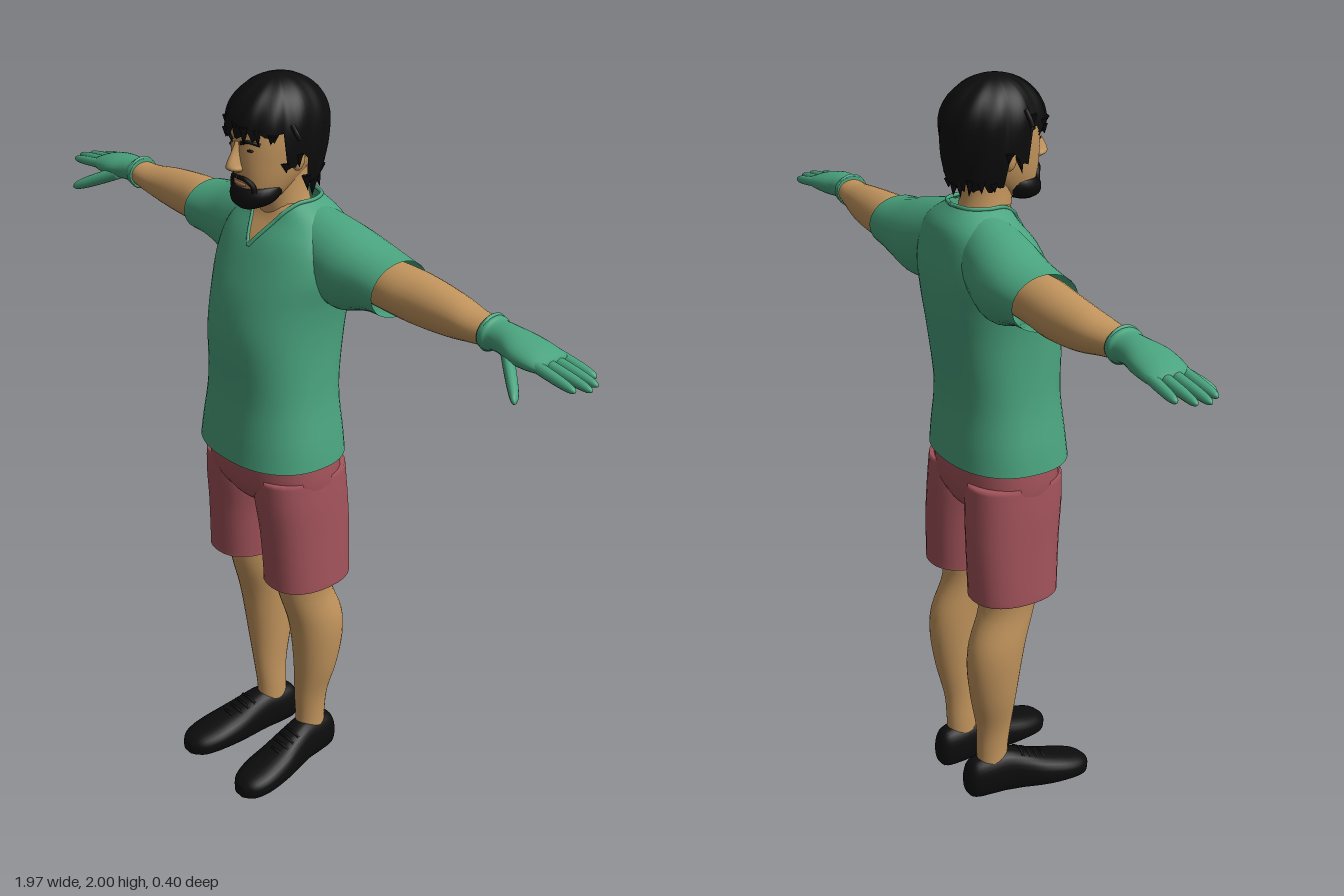
import * as THREE from 'three';

const mat = (name, color, side = THREE.FrontSide) => {
  const m = new THREE.MeshStandardMaterial({ color, side });
  m.name = name;
  return m;
};

// Smoothly resample a list of sections
function smooth(rows, sub = 4) {
  const out = [];
  for (let i = 0; i < rows.length - 1; i++) {
    const [p, a, b, q] = [rows[Math.max(i - 1, 0)], rows[i], rows[i + 1], rows[Math.min(i + 2, rows.length - 1)]];
    for (let k = 0; k < sub; k++) {
      const t = k / sub;
      out.push(a.map((v, c) => {
        const cubic = 3 * (v - b[c]) + q[c] - p[c];
        const square = 2 * p[c] - 5 * v + 4 * b[c] - q[c];
        return v + 0.5 * t * (b[c] - p[c] + t * (square + t * cubic));
      }));
    }
  }
  out.push(rows[rows.length - 1]);
  return out;
}

// Grid of points (rows of equal length) to a smooth surface
function skinGrid(grid, closed, capStart = false, capEnd = false) {
  const n = grid[0].length, pos = grid.flat(2), idx = [];
  for (let i = 0; i < grid.length - 1; i++) {
    for (let j = 0; j < (closed ? n : n - 1); j++) {
      const a = i * n + j, b = i * n + (j + 1) % n;
      idx.push(a, a + n, b, b, a + n, b + n);
    }
  }
  const cap = (row, flip) => {
    const c = pos.length / 3, base = row * n;
    pos.push(...[0, 1, 2].map(k => grid[row].reduce((s, p) => s + p[k], 0) / n));
    for (let j = 0; j < n; j++) {
      const a = base + j, b = base + (j + 1) % n;
      idx.push(c, flip ? b : a, flip ? a : b);
    }
  };
  if (capStart) cap(0, false);
  if (capEnd) cap(grid.length - 1, true);
  const g = new THREE.BufferGeometry();
  g.setAttribute('position', new THREE.Float32BufferAttribute(pos, 3));
  g.setIndex(idx);
  g.computeVertexNormals();
  return g;
}

// Loft of oval sections [t, u, v, ru, rv] along an axis (y: u=x v=z, x: u=z v=y, z: u=y v=x)
function loft(axis, rows, { n = 2, seg = 28, capStart = true, capEnd = true, floor = -1 } = {}) {
  const place = { y: (t, u, v) => [u, t, v], x: (t, u, v) => [t, v, u], z: (t, u, v) => [v, u, t] }[axis];
  const pw = c => Math.sign(c) * Math.abs(c) ** (2 / n);
  const grid = smooth(rows).map(([t, u, v, ru, rv]) => Array.from({ length: seg }, (_, j) => {
    const a = j / seg * Math.PI * 2;
    const p = place(t, u + ru * pw(Math.cos(a)), v + rv * pw(Math.sin(a)));
    p[1] = Math.max(p[1], floor);
    return p;
  }));
  return skinGrid(grid, true, capStart, capEnd);
}

const tube = (pts, r, seg = 24) =>
  new THREE.TubeGeometry(new THREE.CatmullRomCurve3(pts.map(p => new THREE.Vector3(...p))), seg, r, 8);
const ball = (x, y, z, rx, ry, rz) => new THREE.SphereGeometry(1, 16, 12).scale(rx, ry, rz).translate(x, y, z);

export function createModel() {
  const model = new THREE.Group();
  model.name = 'standingMan';
  const skin = mat('skin', 0xc4965e);
  const green = mat('greenCloth', 0x4aa47f, THREE.DoubleSide);
  const red = mat('redCloth', 0xa2535a, THREE.DoubleSide);
  const black = mat('black', 0x0c0c0c, THREE.DoubleSide);
  const lip = mat('lips', 0xa8734f);

  const add = (name, geo, m) => {
    const mesh = new THREE.Mesh(geo, m);
    mesh.name = name;
    model.add(mesh);
  };
  // Left part plus its mirrored right twin
  const pair = (name, geo, m) => {
    add(name + 'Left', geo, m);
    const g = geo.clone().scale(-1, 1, 1), ix = g.index.array;
    for (let i = 0; i < ix.length; i += 3) [ix[i], ix[i + 1]] = [ix[i + 1], ix[i]];
    add(name + 'Right', g, m);
  };

  // Shirt body
  const torso = [
    [1.02, 0, -0.012, 0.206, 0.163], [1.08, 0, -0.013, 0.198, 0.158], [1.2, 0, -0.015, 0.178, 0.15],
    [1.35, 0, -0.022, 0.172, 0.163], [1.45, 0, -0.038, 0.18, 0.16], [1.53, 0, -0.055, 0.196, 0.145],
    [1.6, 0, -0.068, 0.185, 0.122], [1.65, 0, -0.08, 0.14, 0.096], [1.69, 0, -0.072, 0.076, 0.07]];
  add('shirtBody', loft('y', torso, { n: 2.3, seg: 48, capStart: false, capEnd: false }), green);
  pair('sleeve', loft('x', [[0.05, -0.082, 1.59, 0.075, 0.095], [0.12, -0.088, 1.57, 0.09, 0.104], [0.2, -0.095, 1.55, 0.099, 0.107],
    [0.27, -0.1, 1.55, 0.095, 0.087], [0.32, -0.1, 1.55, 0.092, 0.075], [0.37, -0.098, 1.548, 0.089, 0.069]], { capEnd: false }), green);

  // Neck opening: skin patch laid on the chest, edged by a collar
  const rows = smooth(torso, 8);
  const chest = (x, y, off) => {
    const i = Math.max(1, rows.findIndex(r => r[0] >= y)), f = (y - rows[i - 1][0]) / (rows[i][0] - rows[i - 1][0]);
    const [, , zc, a, b] = rows[i].map((v, k) => rows[i - 1][k] + (v - rows[i - 1][k]) * f);
    return [x, y, zc + b * (1 - Math.min(1, Math.abs(x / a)) ** 2.3) ** (1 / 2.3) + off];
  };
  const vWidth = k => 0.07 * k, vY = k => 1.585 + 0.104 * k;
  add('neckOpening', skinGrid(Array.from({ length: 13 }, (_, i) => Array.from({ length: 13 }, (_, j) =>
    chest(vWidth(i / 12) * (1 - j / 6), vY(i / 12), 0.004))), false), skin);
  pair('collar', tube([0, 0.2, 0.4, 0.6, 0.8, 1].map(k => chest(vWidth(k), vY(k), 0.003))
    .concat([[0.075, 1.692, -0.08], [0.055, 1.693, -0.122], [0, 1.694, -0.142]]), 0.005, 40), green);

  // Shorts: hips plus two open legs
  add('shortsHips', loft('y', [[0.89, 0, -0.025, 0.12, 0.11], [0.925, 0, -0.022, 0.185, 0.13], [0.97, 0, -0.018, 0.197, 0.143],
    [1.05, 0, -0.015, 0.19, 0.142]], { n: 2.3, seg: 40 }), red);
  pair('shortsLeg', loft('y', [[0.65, 0.118, -0.036, 0.095, 0.122], [0.67, 0.118, -0.036, 0.095, 0.122], [0.8, 0.112, -0.033, 0.094, 0.127],
    [0.9, 0.104, -0.026, 0.097, 0.131], [0.98, 0.1, -0.022, 0.094, 0.13]], { n: 2.3, capStart: false }), red);

  // Legs and shoes
  pair('leg', loft('y', [[0.08, 0.088, -0.082, 0.036, 0.045], [0.14, 0.088, -0.082, 0.036, 0.046], [0.22, 0.093, -0.08, 0.04, 0.052],
    [0.32, 0.103, -0.086, 0.054, 0.066], [0.42, 0.108, -0.086, 0.063, 0.078], [0.5, 0.108, -0.075, 0.066, 0.082],
    [0.6, 0.102, -0.043, 0.065, 0.08], [0.7, 0.105, -0.04, 0.074, 0.092], [0.8, 0.105, -0.035, 0.078, 0.1]]), skin);
  pair('shoe', loft('z', [[-0.162, 0.045, 0.084, 0.035, 0.022], [-0.145, 0.05, 0.085, 0.058, 0.037], [-0.1, 0.055, 0.088, 0.065, 0.045],
    [-0.05, 0.057, 0.093, 0.068, 0.047], [0, 0.047, 0.1, 0.063, 0.052], [0.06, 0.035, 0.109, 0.05, 0.06], [0.13, 0.025, 0.117, 0.04, 0.061],
    [0.18, 0.018, 0.121, 0.032, 0.047], [0.204, 0.014, 0.122, 0.018, 0.02]], { n: 2.4, floor: 0 }), black);
  for (let i = 0; i < 4; i++) {
    const z = -0.005 + i * 0.022, y = 0.112 - i * 0.0095, x = 0.1 + i * 0.003;
    pair('shoelace' + i, tube([[x - 0.03, y - 0.008, z], [x, y + 0.001, z + 0.004], [x + 0.03, y - 0.008, z]], 0.004, 8), black);
  }

  // Arms and gloves
  pair('arm', loft('x', [[0.28, -0.1, 1.55, 0.065, 0.058], [0.37, -0.1, 1.55, 0.068, 0.06], [0.45, -0.104, 1.546, 0.064, 0.061],
    [0.55, -0.102, 1.545, 0.056, 0.052], [0.63, -0.095, 1.547, 0.048, 0.038], [0.7, -0.092, 1.552, 0.038, 0.031]]), skin);
  pair('glovePalm', loft('x', [[0.675, -0.092, 1.552, 0.046, 0.04], [0.69, -0.092, 1.552, 0.047, 0.041], [0.703, -0.092, 1.552, 0.042, 0.035],
    [0.735, -0.091, 1.552, 0.044, 0.034], [0.78, -0.089, 1.548, 0.056, 0.033], [0.83, -0.092, 1.543, 0.057, 0.027],
    [0.868, -0.096, 1.539, 0.052, 0.017]]), green);
  pair('gloveCuff', new THREE.TorusGeometry(0.041, 0.005, 8, 28).rotateY(Math.PI / 2).translate(0.682, 1.552, -0.092), green);
  const finger = (x0, x1, z0, z1, y0, y1, r) => [0, 0.35, 0.7, 0.92, 1].map((k, i) => {
    const w = r * [1, 1, 0.9, 0.65, 0.2][i];
    return [x0 + (x1 - x0) * k, z0 + (z1 - z0) * k, y0 + (y1 - y0) * k, w, w];
  });
  [[0.965, -0.056, -0.052], [0.985, -0.083, -0.082], [0.975, -0.109, -0.111], [0.945, -0.134, -0.14]].forEach(([x, z0, z1], i) =>
    pair('gloveFinger' + i, loft('x', finger(0.83, x, z0, z1, 1.544, 1.527, 0.0135), { seg: 12 }), green));
  pair('gloveThumb', loft('x', finger(0.75, 0.866, -0.066, 0.02, 1.54, 1.485, 0.019), { seg: 12 }), green);

  // Neck, head and face
  add('neck', loft('y', [[1.58, 0, -0.07, 0.068, 0.066], [1.65, 0, -0.055, 0.068, 0.068], [1.72, 0, -0.042, 0.06, 0.064], [1.8, 0, -0.04, 0.06, 0.064]]), skin);
  add('head', loft('y', [[1.695, 0, 0.045, 0.025, 0.025], [1.708, 0, 0.03, 0.047, 0.054], [1.75, 0, 0.005, 0.065, 0.087], [1.8, 0, -0.015, 0.076, 0.112],
    [1.86, 0, -0.022, 0.082, 0.119], [1.92, 0, -0.025, 0.079, 0.113], [1.965, 0, -0.025, 0.05, 0.07], [1.98, 0, -0.025, 0.01, 0.015]], { seg: 36, n: 2.15 }), skin);
  add('nose', loft('y', [[1.782, 0, 0.095, 0.012, 0.012], [1.79, 0, 0.102, 0.019, 0.023], [1.802, 0, 0.103, 0.015, 0.025],
    [1.83, 0, 0.096, 0.009, 0.018], [1.855, 0, 0.09, 0.008, 0.01]], { seg: 16 }), skin);
  pair('ear', ball(0.08, 1.81, -0.025, 0.012, 0.032, 0.02), skin);
  pair('eye', ball(0.032, 1.838, 0.083, 0.013, 0.0045, 0.008), black);
  pair('eyebrow', tube([[0.014, 1.854, 0.097], [0.034, 1.86, 0.09], [0.056, 1.853, 0.07]], 0.0045, 10), black);
  add('mouth', ball(0, 1.75, 0.088, 0.022, 0.007, 0.008), lip);

  // Beard and moustache
  add('beard', loft('y', [[1.686, 0, 0.06, 0.025, 0.025], [1.7, 0, 0.05, 0.053, 0.05], [1.72, 0, 0.04, 0.066, 0.062], [1.738, 0, 0.032, 0.064, 0.062],
    [1.745, 0, 0.025, 0.058, 0.058]]), black);
  pair('moustache', tube([[0, 1.767, 0.092], [0.022, 1.765, 0.089], [0.038, 1.75, 0.079], [0.042, 1.732, 0.077]], 0.007, 14), black);

  // Hair shell with a ragged lower edge: short over the brow, long at the nape
  const hairPoint = (a, y) => {
    const f = y > 1.88 ? Math.sqrt(Math.max(0, 1 - ((y - 1.88) / 0.12) ** 2)) : 1 - 0.2 * ((1.88 - y) / 0.15) ** 2;
    const r = f * (1 + 0.018 * Math.sin(a * 11 + y * 30));
    return [0.108 * r * Math.cos(a), y, -0.025 + 0.138 * r * Math.sin(a)];
  };
  const hem = a => {
    const s = Math.sin(a);
    const base = s > 0.4 ? 1.875 : s > 0.05 ? 1.80 : s > -0.12 ? 1.825 : 1.74;
    return base + 0.009 * Math.sin(a * 17) + 0.006 * Math.sin(a * 29);
  };
  add('hair', skinGrid(Array.from({ length: 19 }, (_, i) => Array.from({ length: 72 }, (_, j) => {
    const a = j / 72 * Math.PI * 2, y0 = hem(a);
    return hairPoint(a, y0 + (2 - y0) * Math.sin(i / 18 * Math.PI / 2));
  })), true), black);

  // Loose locks along the edge
  for (let i = 0; i < 22; i++) {
    const a = i / 22 * Math.PI * 2 + 0.1, y = hem(a) + 0.012, [x, , z] = hairPoint(a, y);
    const lean = 0.24 * Math.sin(i * 2.4), len = 0.034 + 0.012 * Math.sin(i * 5.1);
    const dir = new THREE.Vector3(0.12 * Math.cos(a) + lean, -1, 0.05 * Math.sin(a)).normalize();
    const lock = new THREE.ConeGeometry(0.012, len, 7);
    lock.applyQuaternion(new THREE.Quaternion().setFromUnitVectors(new THREE.Vector3(0, 1, 0), dir));
    add('hairLock' + i, lock.translate(x * 0.96, y - 0.012, -0.025 + (z + 0.025) * 0.96), black);
  }
  add('sideLockRight', tube([[-0.098, 1.925, 0.01], [-0.12, 1.905, 0.01], [-0.14, 1.892, 0.005]], 0.006, 8), black);
  add('sideLockLeft', tube([[0.1, 1.9, 0.01], [0.116, 1.885, 0.01], [0.122, 1.87, 0.005]], 0.006, 8), black);
  return model;
}
